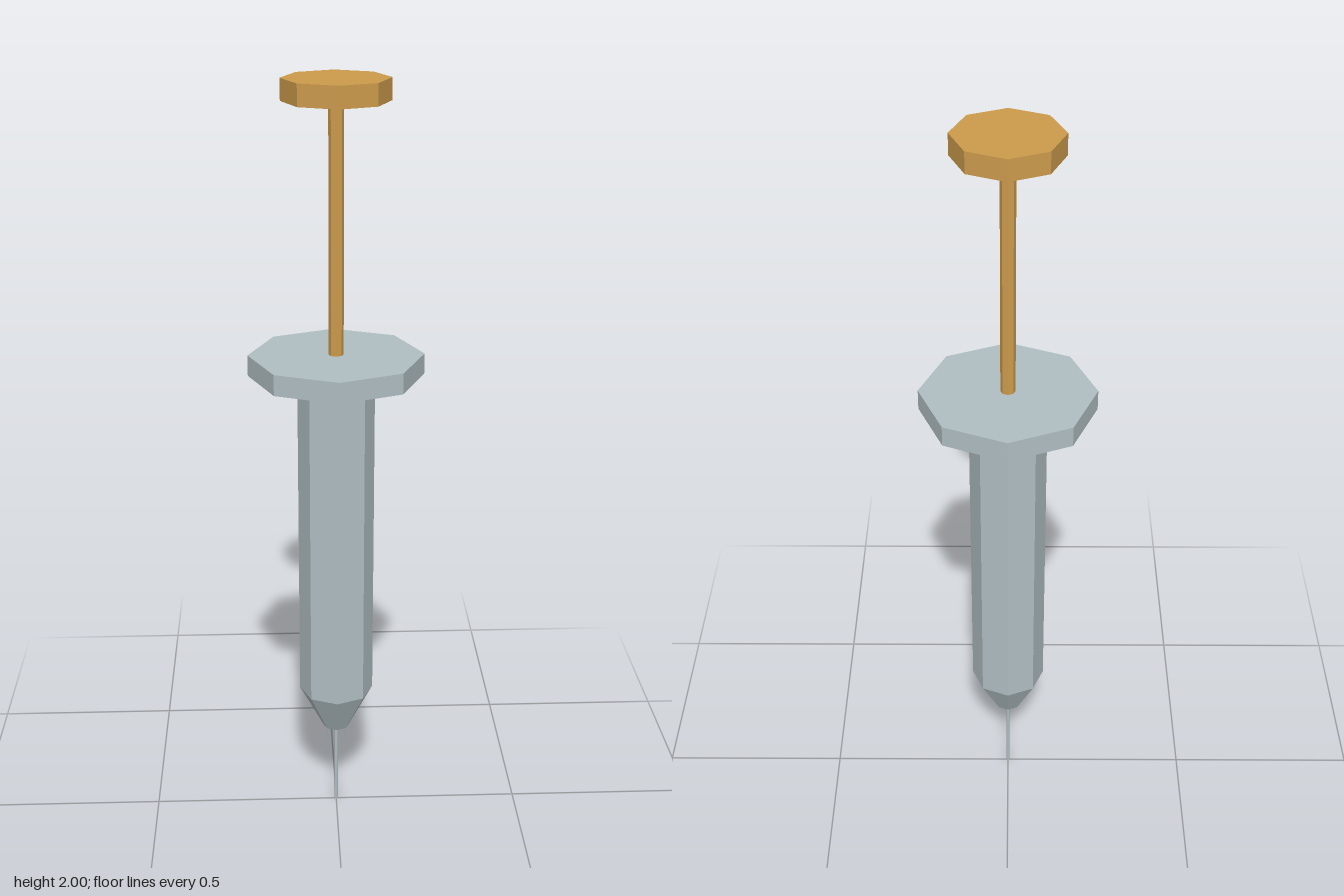
import * as THREE from 'three';

export function createModel() {
  const model = new THREE.Group();
  model.name = 'syringe';

  const material = (name, color) => {
    const m = new THREE.MeshStandardMaterial({ color, flatShading: true });
    m.name = name;
    return m;
  };
  const paleSteel = material('pale steel', 0xb0bec2);
  const amber = material('amber', 0xcc9b4c);

  // Eight-sided upright section between two heights
  const section = (name, mat, y0, y1, bottomRadius, topRadius = bottomRadius) => {
    const geometry = new THREE.CylinderGeometry(topRadius, bottomRadius, y1 - y0, 8);
    const mesh = new THREE.Mesh(geometry, mat);
    mesh.name = name;
    mesh.position.y = (y0 + y1) / 2;
    model.add(mesh);
  };

  // Needle and barrel
  section('needle', paleSteel, 0, 0.242, 0.0045);
  section('nozzle', paleSteel, 0.242, 0.36, 0.036, 0.099);
  section('barrel', paleSteel, 0.36, 1.26, 0.099);
  section('fingerFlange', paleSteel, 1.26, 1.314, 0.224);

  // Plunger
  section('plungerRod', amber, 1.3, 1.95, 0.019);
  section('thumbPad', amber, 1.946, 2, 0.134);

  return model;
}
